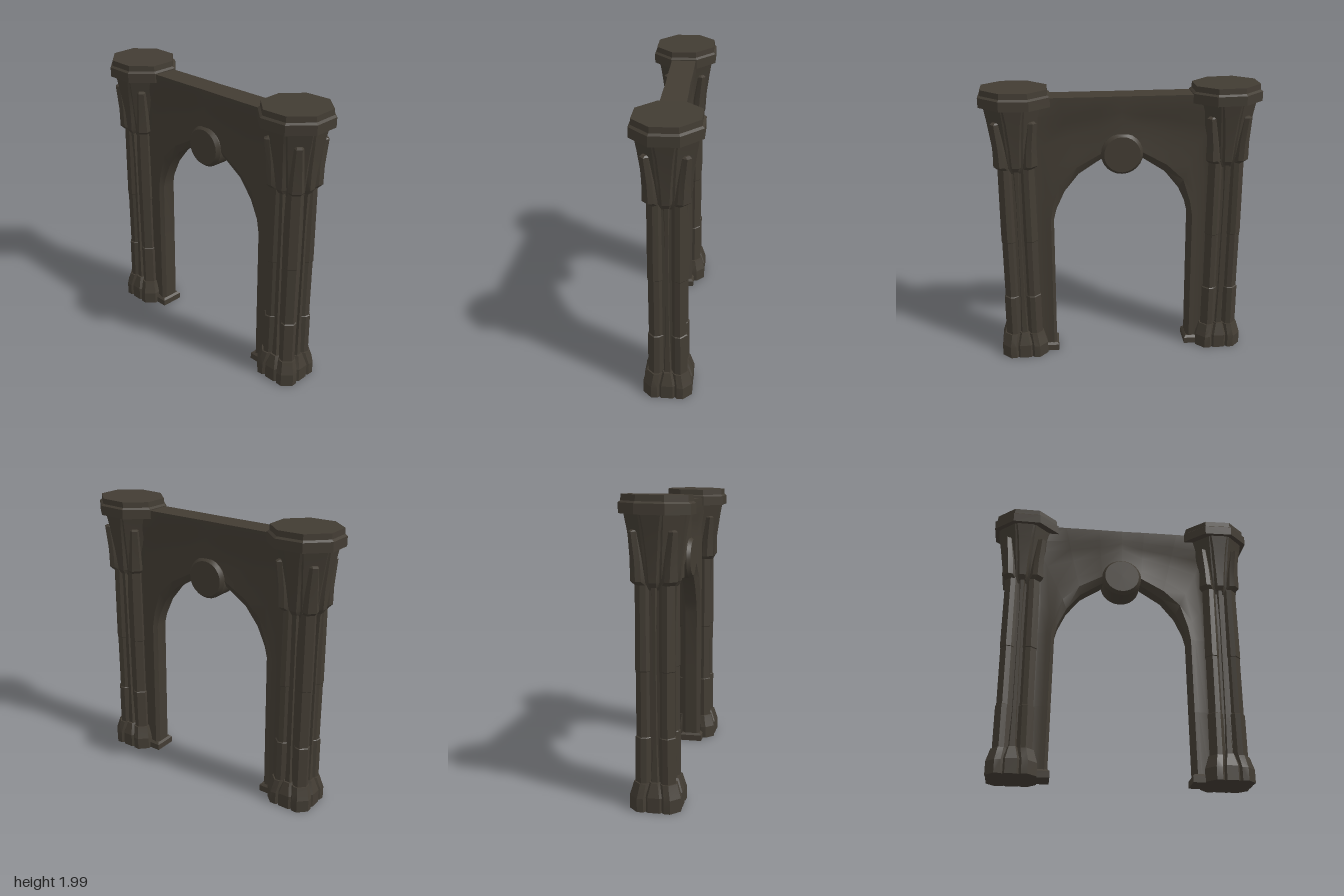
import * as THREE from 'three';
import { toCreasedNormals } from 'three/addons/utils/BufferGeometryUtils.js';

const stone = new THREE.MeshStandardMaterial({ color: 0x423c33 });
stone.name = 'darkStone';

const PILLAR_X = 0.725;

// Closed skin through equal-length rings of [x, y, z], capped at both ends and facing outwards
function loft(rings, crease = 0.3) {
  const n = rings[0].length, pos = rings.flat(), idx = [];
  for (let i = 0; i < rings.length - 1; i++) {
    for (let j = 0; j < n; j++) {
      const a = i * n + j, b = i * n + (j + 1) % n;
      idx.push([a, b, b + n], [a, b + n, a + n]);
    }
  }
  const last = (rings.length - 1) * n;
  for (let j = 1; j < n - 1; j++) idx.push([0, j + 1, j], [last, last + j, last + j + 1]);

  // Signed volume tells whether the faces point inwards
  const v = pos.map((p) => new THREE.Vector3(...p));
  const volume = idx.reduce((sum, [a, b, c]) => sum + v[a].dot(v[b].clone().cross(v[c])), 0);
  if (volume < 0) idx.forEach((t) => t.reverse());

  const g = new THREE.BufferGeometry();
  g.setAttribute('position', new THREE.Float32BufferAttribute(pos.flat(), 3));
  g.setIndex(idx.flat());
  g.computeVertexNormals();
  return toCreasedNormals(g, crease);
}

function add(parent, name, geometry) {
  const mesh = new THREE.Mesh(geometry, stone);
  mesh.name = name;
  parent.add(mesh);
}

// Octagonal stack from [y, apothem] steps, optionally tilted and stretched in x
function octagon(profile, side, cx, stretch = 1, tilt = 0) {
  return loft(profile.map(([y, r]) => Array.from({ length: 8 }, (_, k) => {
    const a = (k + 0.5) * Math.PI / 4, R = r / Math.cos(Math.PI / 8);
    const x = Math.cos(a) * R * stretch, z = Math.sin(a) * R;
    return [side * (cx + x), y + tilt * (x - z), z];
  })));
}

// Chamfered rib pointing out from the pillar axis, from [y, reach, halfWidth] steps
function rib(profile, angle, side) {
  const c = Math.cos(angle), s = Math.sin(angle);
  return loft(profile.map(([y, r, w]) =>
    [[0, -w], [r - 0.03, -w], [r, -w * 0.6], [r, w * 0.6], [r - 0.03, w], [0, w]]
      .map(([u, t]) => [side * (PILLAR_X + u * c - t * s), y, u * s + t * c])));
}

function createPillar(side) {
  const pillar = new THREE.Group();
  pillar.name = side > 0 ? 'leftPillar' : 'rightPillar';

  add(pillar, 'core', octagon(
    [[0, 0.1], [1.42, 0.1], [1.47, 0.12], [1.62, 0.14], [1.78, 0.168], [1.88, 0.188]], side, PILLAR_X));

  // Thin ribs on the four faces, with spreading feet and capital brackets
  const thinRib = [[0.1, 0.125, 0.05], [0.2, 0.122, 0.03], [0.45, 0.117, 0.02], [1.2, 0.115, 0.015], [1.46, 0.125, 0.022]];
  const faceFoot = [[0, 0.165, 0.065], [0.1, 0.165, 0.065], [0.16, 0.145, 0.045], [0.19, 0.135, 0.035]];
  const faceBracket = [[1.44, 0.13, 0.03], [1.47, 0.148, 0.038], [1.6, 0.156, 0.05], [1.78, 0.18, 0.075], [1.88, 0.196, 0.1]];

  // Broad shafts on the four corners, stepped in slightly with height
  const shaft = [[0.1, 0.156, 0.052], [0.48, 0.154, 0.052], [0.485, 0.147, 0.048],
    [0.91, 0.147, 0.048], [0.915, 0.151, 0.05], [1.46, 0.147, 0.048]];
  const cornerFoot = [[0, 0.194, 0.07], [0.09, 0.194, 0.07], [0.15, 0.174, 0.062], [0.18, 0.165, 0.058]];
  const cornerBracket = [[1.45, 0.15, 0.045], [1.475, 0.18, 0.05], [1.6, 0.182, 0.042], [1.775, 0.2, 0.03], [1.785, 0.18, 0.025]];

  for (let k = 0; k < 4; k++) {
    const face = k * Math.PI / 2, corner = face + Math.PI / 4;
    add(pillar, 'thinRib', rib(thinRib, face, side));
    add(pillar, 'faceFoot', rib(faceFoot, face, side));
    add(pillar, 'faceBracket', rib(faceBracket, face, side));
    add(pillar, 'cornerShaft', rib(shaft, corner, side));
    add(pillar, 'cornerFoot', rib(cornerFoot, corner, side));
    add(pillar, 'cornerBracket', rib(cornerBracket, corner, side));
  }

  // Slightly tilted octagonal cap slab
  add(pillar, 'cap', octagon(
    [[1.875, 0.222], [1.94, 0.222], [1.952, 0.208], [1.99, 0.206]], side, 0.715, 1.06, 0.016));

  // Plinth under the jamb of the arch
  const plinth = [[0, 0.475, 0.085], [0.045, 0.475, 0.085], [0.06, 0.488, 0.07]].map(([y, x, z]) =>
    [[x, y, -z], [0.65, y, -z], [0.65, y, z], [x, y, z]].map(([a, b, c]) => [side * a, b, c]));
  add(pillar, 'jambPlinth', loft(plinth));
  return pillar;
}

// Arch wall: each station runs from the opening edge to the outer edge and back on the other face
function createArchWall() {
  const inner = [[0.49, 0], [0.485, 0.5], [0.48, 1.05], [0.46, 1.13], [0.4, 1.26], [0.3, 1.385], [0.14, 1.49], [0, 1.6]];
  const outer = [[0.7, 0], [0.7, 0.5], [0.7, 1.05], [0.7, 1.4], [0.7, 1.93], [0.42, 1.93], [0.17, 1.93], [0, 1.93]];
  const section = [[0, 0.045], [0.1, 0.072], [0.25, 0.066], [0.5, 0.06], [0.68, 0.066], [0.8, 0.082], [1, 0.085]];

  const station = (i, side) => {
    const [px, py] = inner[i], [qx, qy] = outer[i];
    const half = section.map(([t, z]) => {
      // A soft ridge rises from the boss to the top of the wall
      const depth = i === 7 && t > 0 ? 0.082 : z;
      return [side * (px + (qx - px) * t), py + (qy - py) * t, depth];
    });
    return [...half, ...half.map(([x, y, z]) => [x, y, -z]).reverse()];
  };

  const rings = [];
  for (let i = 0; i < 8; i++) rings.push(station(i, -1));
  for (let i = 6; i >= 0; i--) rings.push(station(i, 1));
  return loft(rings, 0.5);
}

export function createModel() {
  const model = new THREE.Group();
  model.name = 'archway';
  model.add(createPillar(1), createPillar(-1));
  add(model, 'archWall', createArchWall());

  // Round boss at the point of the arch
  const profile = [[0, -0.1], [0.125, -0.1], [0.145, -0.075], [0.145, 0.075], [0.125, 0.1], [0, 0.1]]
    .map(([r, y]) => new THREE.Vector2(r, y));
  const boss = toCreasedNormals(new THREE.LatheGeometry(profile, 24), 0.5);
  boss.rotateX(Math.PI / 2).translate(0, 1.53, 0);
  add(model, 'keystoneBoss', boss);
  return model;
}
